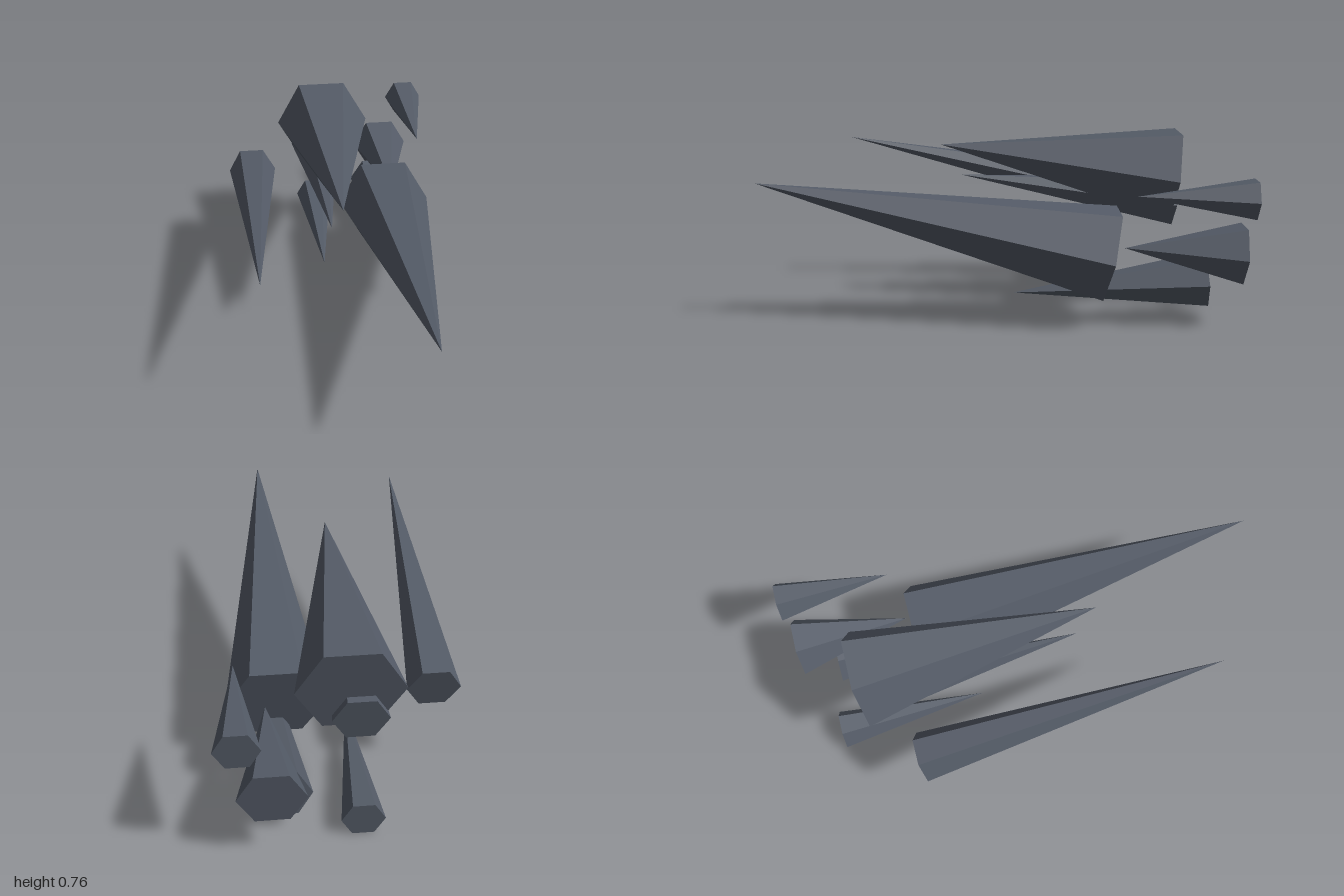
import * as THREE from 'three';

// Each shard: name, x, tip [y, z], base centre [y, z], base radius
const SHARDS = [
  ['upperCentreShard', -0.032, [0.705, 0.255], [0.578, -0.74], 0.21],
  ['innerCentreShard', -0.07, [0.567, 0.17], [0.45, -0.755], 0.11],
  ['leadingShard', 0.231, [0.59, 1.0], [0.295, -0.45], 0.207],
  ['outerSideShard', -0.377, [0.686, 0.685], [0.427, -0.573], 0.106],
  ['lowerCentreShard', 0.235, [0.126, -0.05], [0.184, -0.845], 0.116],
  ['rearShard', 0.279, [0.327, -0.504], [0.304, -0.985], 0.131],
  ['smallUpperShard', 0.395, [0.566, -0.534], [0.555, -0.999], 0.086],
  ['smallLowerShard', -0.068, [0.086, -0.257], [0.075, -0.9], 0.085],
];

export function createModel() {
  const group = new THREE.Group();
  group.name = 'shardCluster';
  const slate = new THREE.MeshStandardMaterial({ color: 0x555c68, flatShading: true });
  slate.name = 'slate';

  for (const [name, x, [tipY, tipZ], [baseY, baseZ], radius] of SHARDS) {
    const dy = tipY - baseY, dz = tipZ - baseZ;
    const length = Math.hypot(dy, dz);
    // Six-sided spike with its base at the origin and its tip along +z
    const spike = new THREE.ConeGeometry(radius, length, 6, 1, false, Math.PI / 6);
    spike.translate(0, length / 2, 0);
    spike.rotateX(Math.PI / 2);

    const shard = new THREE.Mesh(spike, slate);
    shard.name = name;
    shard.position.set(x, baseY, baseZ);
    shard.rotation.x = -Math.atan2(dy, dz);
    group.add(shard);
  }
  return group;
}
